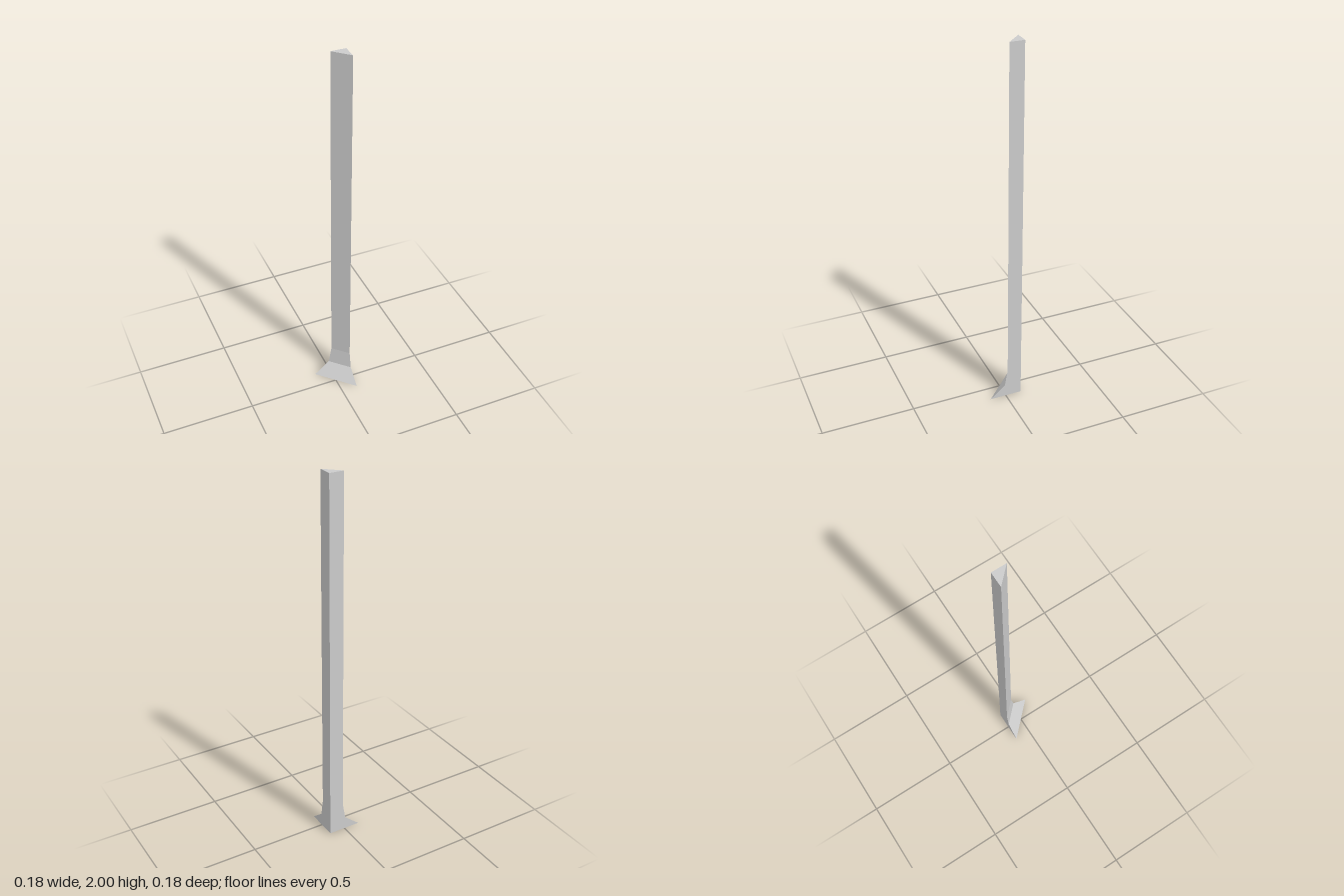
import * as THREE from 'three';

const CORNER = 0.089; // the square corner sits at x = CORNER, z = -CORNER

// Right-triangle cross-section with the given leg length, counter-clockwise from above
const section = ([y, leg]) => [
  [CORNER, y, -CORNER],
  [CORNER - leg, y, -CORNER],
  [CORNER, y, -CORNER + leg],
];

// Closed, flat-faced solid through a stack of [height, leg] sections
function loft(levels) {
  const rings = levels.map(section);
  const positions = [];
  const tri = (a, b, c) => positions.push(...a, ...b, ...c);
  for (let k = 0; k < rings.length - 1; k++) {
    const lo = rings[k], hi = rings[k + 1];
    for (let i = 0; i < 3; i++) {
      const j = (i + 1) % 3;
      tri(lo[i], lo[j], hi[j]);
      tri(lo[i], hi[j], hi[i]);
    }
  }
  const [a, b, c] = rings[0];
  tri(a, c, b); // bottom cap
  tri(...rings[rings.length - 1]); // top cap
  const geometry = new THREE.BufferGeometry();
  geometry.setAttribute('position', new THREE.Float32BufferAttribute(positions, 3));
  geometry.computeVertexNormals();
  return geometry;
}

export function createModel() {
  const group = new THREE.Group();
  group.name = 'cornerTrim';

  // Straight triangular post that flares out into a foot
  const post = new THREE.Mesh(
    loft([[0, 0.178], [0.07, 0.094], [0.165, 0.078], [2, 0.078]]),
    new THREE.MeshStandardMaterial({ color: 0xcccccc, flatShading: true })
  );
  post.name = 'flaredPost';
  group.add(post);
  return group;
}
